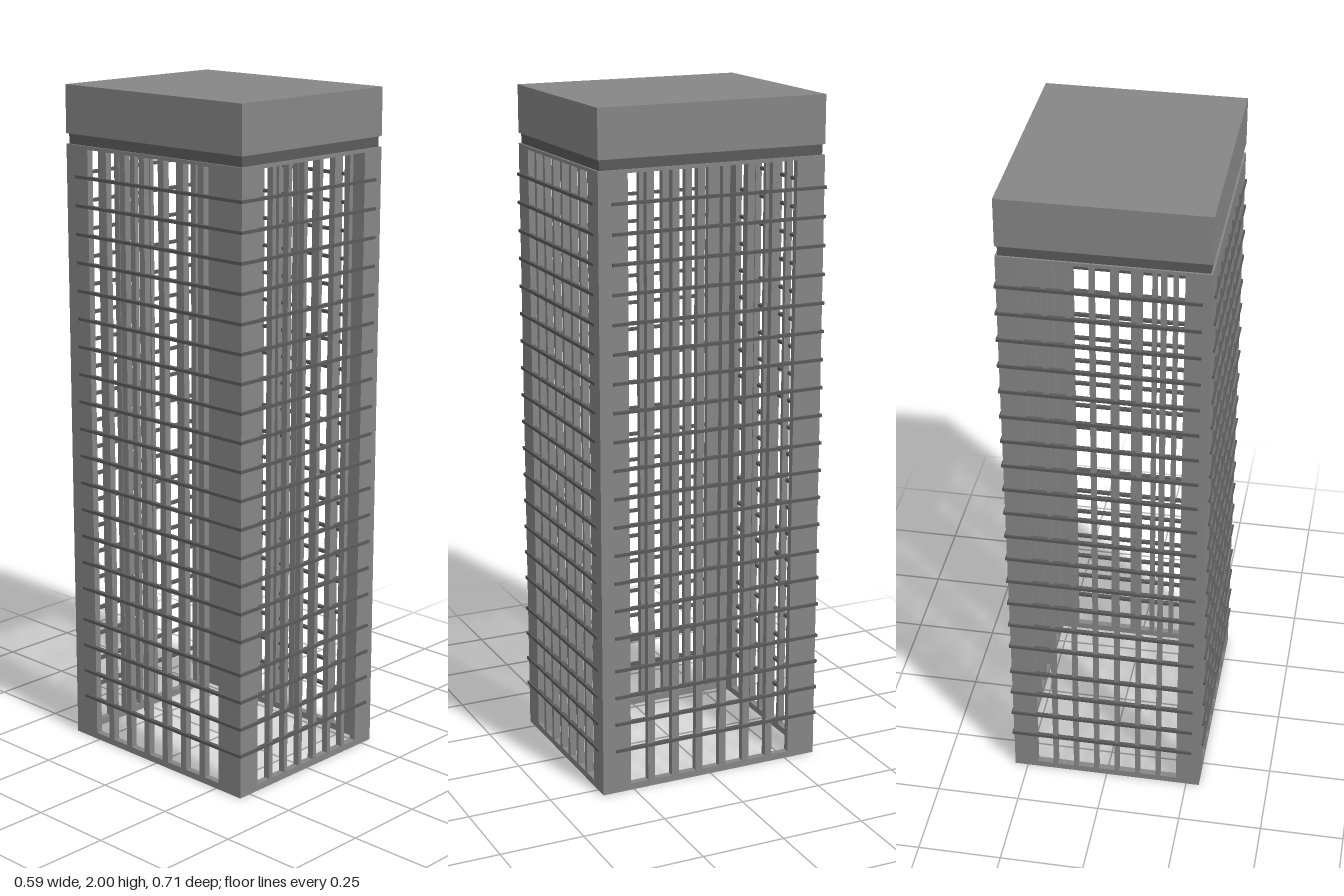
import * as THREE from 'three';

const HALF_X = 0.29, HALF_Z = 0.348, WALL = 0.02, WALL_TOP = 1.83;

// Rectangular path, used for the wall outline and its openings
function rect(path, x0, y0, x1, y1) {
  path.moveTo(x0, y0);
  path.lineTo(x1, y0);
  path.lineTo(x1, y1);
  path.lineTo(x0, y1);
  path.closePath();
  return path;
}

// Wall with seven tall openings separated by six mullions
function wallGeometry(half, openHalf, mullion) {
  const shape = rect(new THREE.Shape(), -half, 0, half, WALL_TOP);
  const panes = 7;
  const pane = (2 * openHalf - (panes - 1) * mullion) / panes;
  for (let i = 0; i < panes; i++) {
    const x = -openHalf + i * (pane + mullion);
    shape.holes.push(rect(new THREE.Path(), x, 0.02, x + pane, 1.82));
  }
  return new THREE.ExtrudeGeometry(shape, { depth: WALL, bevelEnabled: false });
}

export function createModel() {
  const model = new THREE.Group();
  model.name = 'tower';
  const concrete = new THREE.MeshStandardMaterial({ color: 0x868686 });
  concrete.name = 'concrete grey';
  const dark = new THREE.MeshStandardMaterial({ color: 0x5a5a5a });
  dark.name = 'dark grey';

  const add = (parent, name, geometry, material, x, y, z) => {
    const mesh = new THREE.Mesh(geometry, material);
    mesh.name = name;
    mesh.position.set(x, y, z);
    parent.add(mesh);
    return mesh;
  };

  // Roof block and the recessed neck below it
  add(model, 'roofBlock', new THREE.BoxGeometry(2 * HALF_X, 0.14, 2 * HALF_Z), concrete, 0, 1.93, 0);
  add(model, 'recessedNeck', new THREE.BoxGeometry(0.568, 0.03, 0.684), dark, 0, 1.845, 0);

  // Floor lines: two evenly spaced runs with a wider gap between them
  const levels = [];
  for (let i = 0; i < 4; i++) levels.push(0.132 + i * 0.0835);
  for (let i = 0; i < 16; i++) levels.push(0.483 + i * 0.0837);

  // Four sides, each with a wall and floor bars that stop short of one corner
  const sides = [
    { name: 'front', angle: 0 },
    { name: 'left', angle: Math.PI / 2 },
    { name: 'back', angle: Math.PI },
    { name: 'right', angle: -Math.PI / 2 },
  ];
  const longWall = wallGeometry(HALF_Z - WALL, 0.26, 0.022);
  const shortWall = wallGeometry(HALF_X, 0.218, 0.014);
  const longBar = new THREE.BoxGeometry(0.66, 0.009, 0.012);
  const shortBar = new THREE.BoxGeometry(0.56, 0.009, 0.012);
  sides.forEach(({ name, angle }, i) => {
    const long = i % 2 === 1;
    const distance = long ? HALF_X : HALF_Z;
    const side = new THREE.Group();
    side.name = name + 'Side';
    side.rotation.y = angle;
    add(side, name + 'Wall', long ? longWall : shortWall, concrete, 0, 0, distance - WALL);
    levels.forEach((y) => {
      add(side, name + 'FloorBar', long ? longBar : shortBar, dark, long ? 0.022 : -0.015, y, distance - 0.001);
    });
    model.add(side);
  });

  return model;
}
